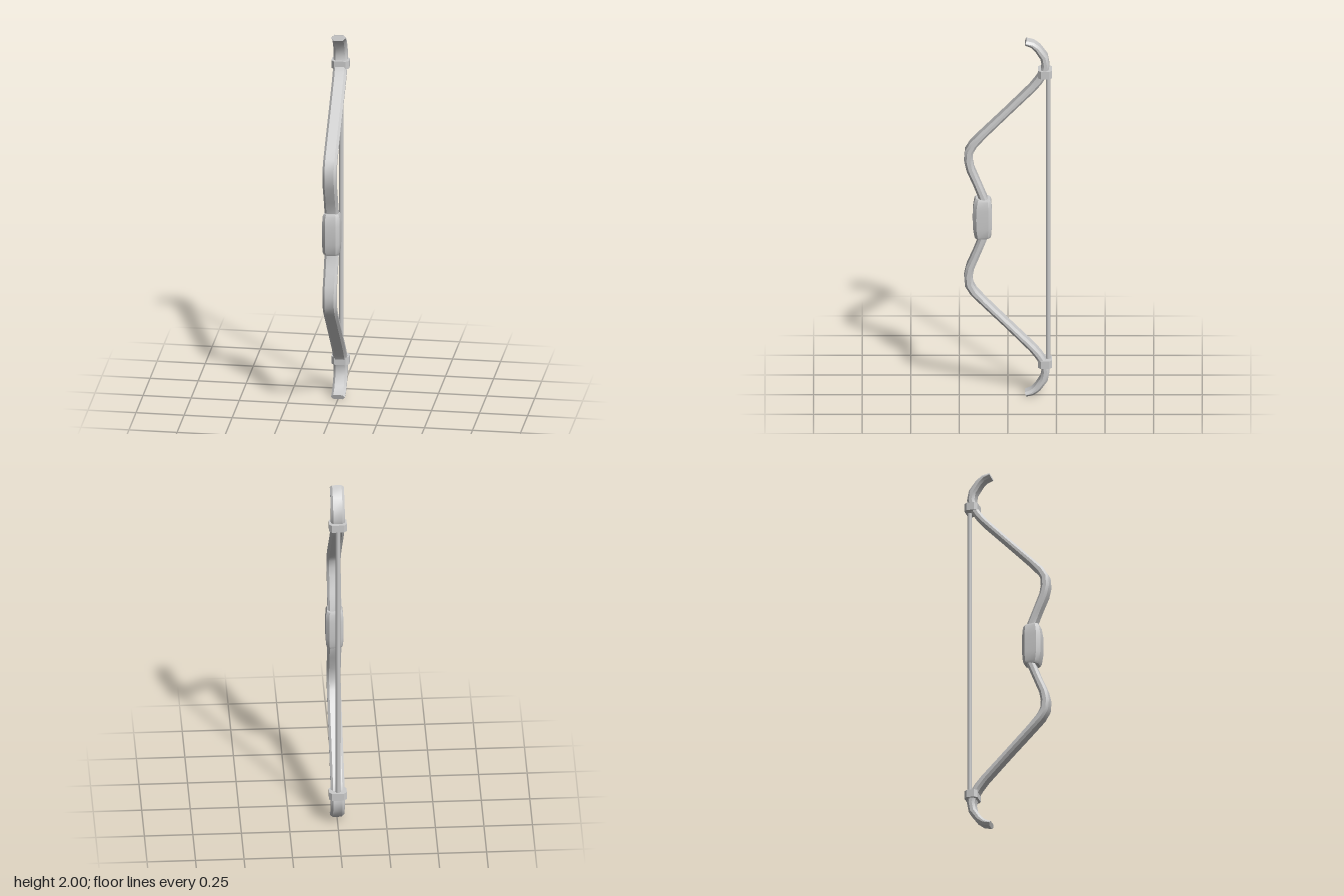
import * as THREE from 'three';
import { toCreasedNormals } from 'three/addons/utils/BufferGeometryUtils.js';

const material = new THREE.MeshStandardMaterial({ color: 0xcccccc });

// Sweeps a chamfered rectangle along stations [y, z, halfWidth, halfDepth, chamfer] in the yz plane.
function sweep(stations) {
  const positions = [];
  const index = [];
  const n = stations.length;
  stations.forEach(([y, z, w, d, c], i) => {
    const a = stations[Math.max(i - 1, 0)];
    const b = stations[Math.min(i + 1, n - 1)];
    const tangent = new THREE.Vector2(b[0] - a[0], b[1] - a[1]).normalize();
    const ring = [
      [w, c - d], [w, d - c], [w - c, d], [c - w, d],
      [-w, d - c], [-w, c - d], [c - w, -d], [w - c, -d],
    ];
    for (const [u, v] of ring) positions.push(u, y - tangent.y * v, z + tangent.x * v);
  });
  for (let i = 0; i < n - 1; i++) {
    for (let j = 0; j < 8; j++) {
      const a = i * 8 + j;
      const b = i * 8 + (j + 1) % 8;
      index.push(a, a + 8, b, b, a + 8, b + 8);
    }
  }
  // end caps
  const last = (n - 1) * 8;
  for (let j = 1; j < 7; j++) {
    index.push(0, j, j + 1);
    index.push(last, last + j + 1, last + j);
  }
  const geometry = new THREE.BufferGeometry();
  geometry.setAttribute('position', new THREE.Float32BufferAttribute(positions, 3));
  geometry.setIndex(index);
  return toCreasedNormals(geometry, 0.6);
}

// Completes a list of upper stations with its mirror image about y = 1.
function mirrored(upper) {
  const lower = upper.filter((s) => s[0] > 1).map(([y, ...rest]) => [2 - y, ...rest]);
  return [...lower.reverse(), ...upper];
}

export function createModel() {
  const model = new THREE.Group();
  const add = (name, geometry) => {
    const mesh = new THREE.Mesh(geometry, material);
    mesh.name = name;
    model.add(mesh);
    return mesh;
  };

  // recurved limbs, running through the grip in one piece
  const limbPath = [
    [1.0, 0.118, 0.021], [1.11, 0.127, 0.021], [1.19, 0.158, 0.02],
    [1.275, 0.193, 0.021], [1.325, 0.203, 0.022], [1.375, 0.199, 0.022],
    [1.415, 0.176, 0.021], [1.47, 0.126, 0.019], [1.6, 0.0, 0.018],
    [1.73, -0.125, 0.019], [1.77, -0.157, 0.02], [1.815, -0.185, 0.02],
    [1.86, -0.194, 0.02], [1.905, -0.186, 0.02], [1.955, -0.152, 0.018],
    [1.977, -0.126, 0.016], [1.988, -0.091, 0.013],
  ];
  add('limbs', sweep(mirrored(limbPath.map(([y, z, d]) => [y, z, 0.036, d, 0.012]))));

  // swollen hand grip
  add('grip', sweep(mirrored([
    [1.0, 0.131, 0.046, 0.05, 0.018],
    [1.05, 0.131, 0.046, 0.049, 0.018],
    [1.098, 0.129, 0.043, 0.043, 0.016],
    [1.11, 0.128, 0.038, 0.038, 0.015],
  ])));

  // bands holding the string to the limbs
  for (const [name, y] of [['upperBand', 1.815], ['lowerBand', 0.185]]) {
    add(name, sweep([-0.021, 0.021].map((h) => [y + h, -0.191, 0.046, 0.035, 0.015])));
  }

  // bowstring
  const string = add('bowstring', new THREE.CylinderGeometry(0.012, 0.012, 1.63, 8));
  string.position.set(0, 1, -0.207);

  return model;
}
